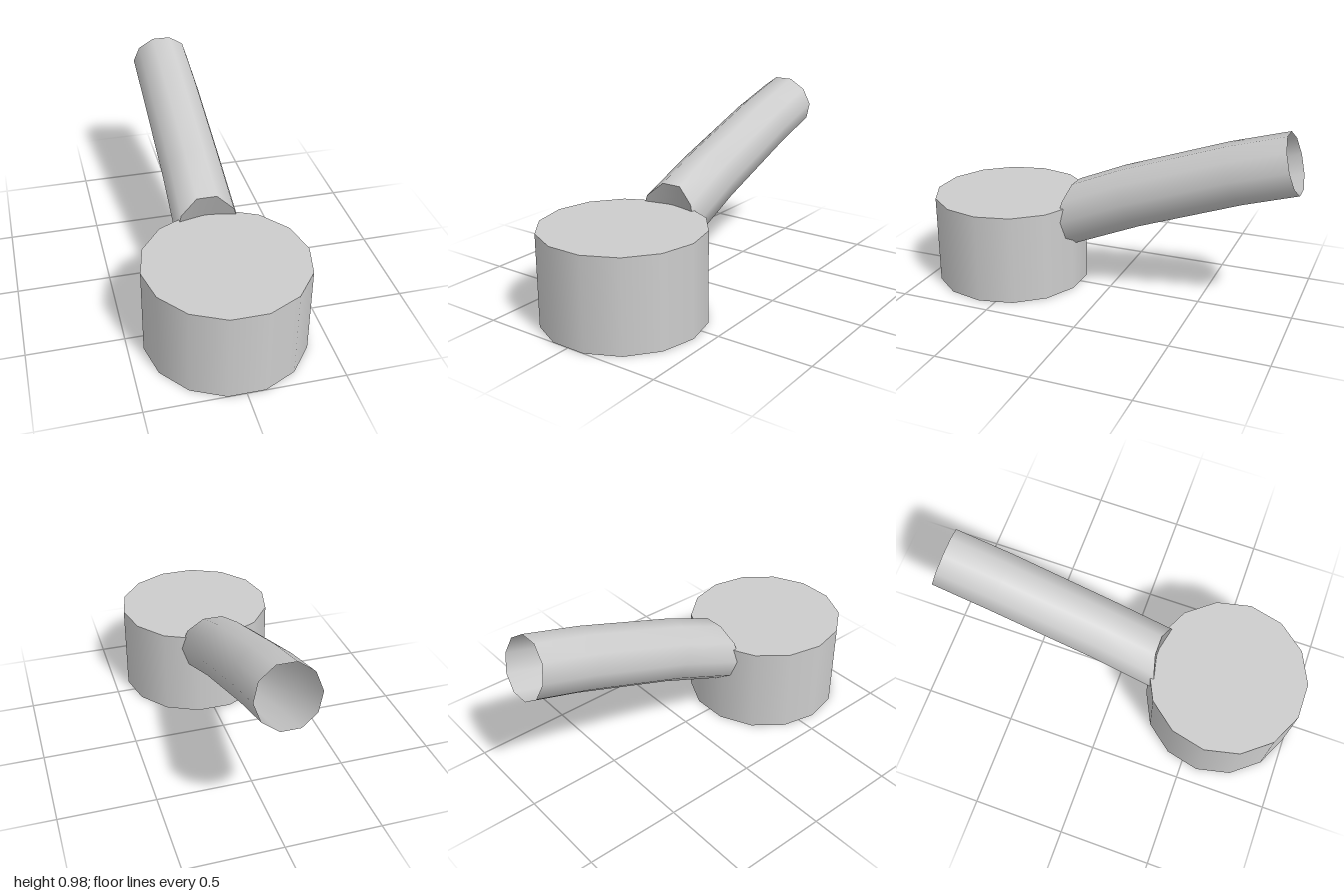
import * as THREE from 'three';

const SIDES = 10;

// indexed geometry with smooth normals
function surface(points, index) {
  const g = new THREE.BufferGeometry();
  g.setAttribute('position', new THREE.Float32BufferAttribute(points.flat(), 3));
  g.setIndex(index);
  g.computeVertexNormals();
  return g;
}

// one ten-sided section, given its top and bottom edges as [z, y]
function ring(radius, top, bottom) {
  const pts = [];
  for (let j = 0; j < SIDES; j++) {
    const a = (j / SIDES) * Math.PI * 2;
    const t = 0.5 + Math.sin(a) / (2 * Math.sin(Math.PI * 0.4));
    pts.push([
      radius * Math.cos(a),
      THREE.MathUtils.lerp(bottom[1], top[1], t),
      THREE.MathUtils.lerp(bottom[0], top[0], t),
    ]);
  }
  return pts;
}

export function createModel() {
  const group = new THREE.Group();
  const grey = new THREE.MeshStandardMaterial({ color: 0xcccccc, side: THREE.DoubleSide });
  grey.name = 'light grey';
  const dark = new THREE.MeshStandardMaterial({ color: 0xa0a0a0 });
  dark.name = 'shaded grey';

  const add = (name, geometry, material) => {
    const mesh = new THREE.Mesh(geometry, material);
    mesh.name = name;
    group.add(mesh);
    return mesh;
  };

  // drum with a flat side at front and back
  add('drum', new THREE.CylinderGeometry(0.42, 0.42, 0.48, 14, 1, false, Math.PI / 2), grey)
    .position.set(0, 0.24, 0.59);

  // pipe sections from the drum to the open end
  const second = ring(0.1655, [-0.07, 0.70], [-0.18, 0.405]);

  // first section slides down the pipe to the curved wall inside the drum
  const first = second.map(([x, y, z]) => {
    const wx = x * 1.04;
    const wz = 0.2 + Math.max(0, Math.abs(wx) - 0.09) * 0.48;
    return [wx, y - (wz - z) * 0.42, wz];
  });
  const rings = [
    first,
    second,
    ring(0.163, [-0.62, 0.89], [-0.72, 0.60]),
    ring(0.16, [-0.92, 0.975], [-1, 0.685]),
  ];
  const index = [];
  for (let i = 0; i < rings.length - 1; i++) {
    for (let j = 0; j < SIDES; j++) {
      const k = (j + 1) % SIDES;
      const a = i * SIDES + j, b = i * SIDES + k;
      index.push(a, a + SIDES, b, b, a + SIDES, b + SIDES);
    }
  }
  add('pipe', surface(rings.flat(), index), grey);

  // cap closing the pipe at the drum
  const fan = [];
  for (let j = 0; j < SIDES; j++) fan.push(SIDES, j, (j + 1) % SIDES);
  add('pipeCap', surface([...first, [0, 0.416, 0.2]], fan), dark);

  return group;
}
